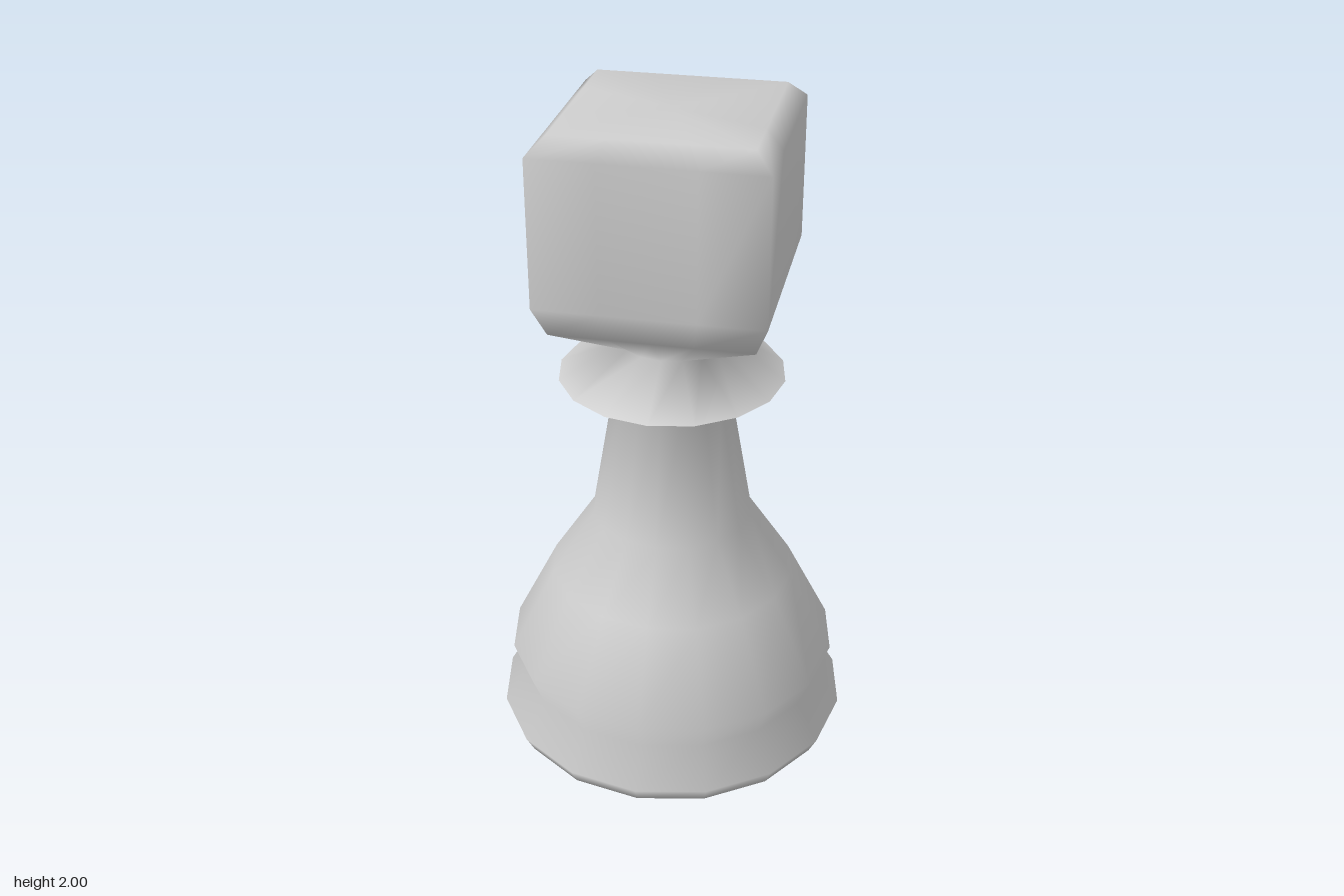
import * as THREE from 'three';

const SIDES = 16;

// Skins a stack of closed rings [radius, y, isSquare]; smooth normals.
// A ring of radius 0 closes an end to a point.
function loft(rings) {
  const positions = [], index = [];
  for (const [radius, y, isSquare] of rings) {
    for (let i = 0; i < SIDES; i++) {
      const a = (i / SIDES) * Math.PI * 2;
      const s = Math.sin(a), c = Math.cos(a);
      // Push the circle out to a square where asked
      const r = isSquare ? radius / Math.max(Math.abs(s), Math.abs(c)) : radius;
      positions.push(r * s, y, r * c);
    }
  }
  for (let j = 0; j < rings.length - 1; j++) {
    for (let i = 0; i < SIDES; i++) {
      const a = j * SIDES + i, b = j * SIDES + (i + 1) % SIDES;
      const c = b + SIDES, d = a + SIDES;
      if (rings[j][0] > 0) index.push(a, b, c);
      if (rings[j + 1][0] > 0) index.push(a, c, d);
      // A closing ring needs only one triangle per side, already covered above
    }
  }
  const geometry = new THREE.BufferGeometry();
  geometry.setAttribute('position', new THREE.Float32BufferAttribute(positions, 3));
  geometry.setIndex(index);
  geometry.computeVertexNormals();
  return geometry;
}

export function createModel() {
  const group = new THREE.Group();
  group.name = 'chessPiece';
  const material = new THREE.MeshStandardMaterial({ color: 0xcccccc });

  const add = (name, rings) => {
    const mesh = new THREE.Mesh(loft(rings), material);
    mesh.name = name;
    group.add(mesh);
  };

  // Foot, bell, stem and underside of the collar, up to its sharp rim
  add('body', [
    [0, 0], [0.52, 0], [0.545, 0.05], [0.475, 0.17], [0.51, 0.26],
    [0.375, 0.53], [0.245, 0.73], [0.172, 1.155], [0.335, 1.2],
  ]);

  // Top of the collar, narrow throat and the bevelled square head
  add('collarAndHead', [
    [0.335, 1.2], [0.155, 1.31], [0.29, 1.43, true], [0.325, 1.52, true],
    [0.325, 1.95, true], [0.275, 2, true], [0, 2],
  ]);

  return group;
}
